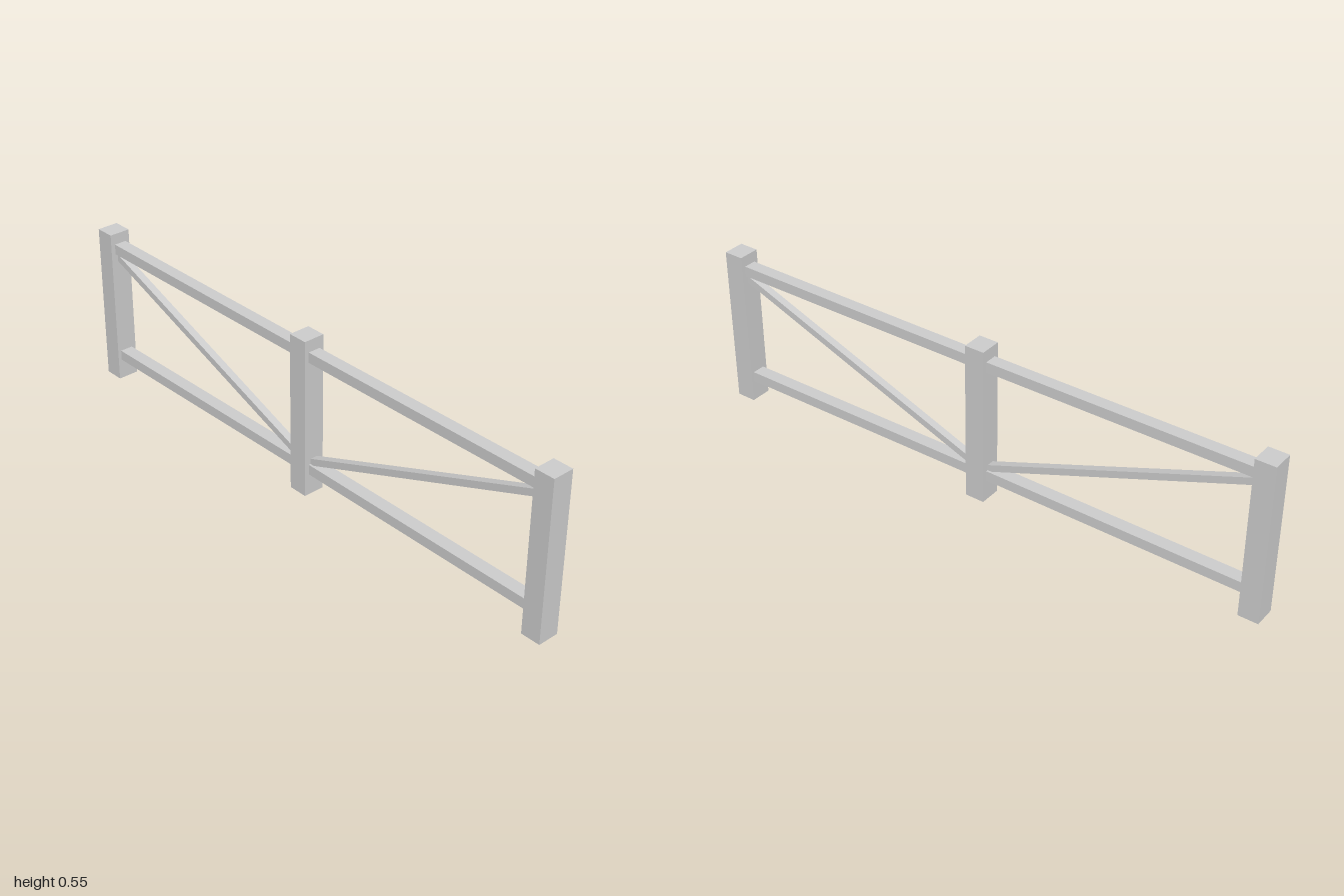
import * as THREE from 'three';

const material = new THREE.MeshStandardMaterial({ color: 0xcccccc, flatShading: true, side: THREE.DoubleSide });

const POST = { width: 0.073, depth: 0.067, height: 0.545 };
const END_Z = 1 - POST.depth / 2;

// Hollow post: four sides and a cap, open at the foot
function makePost(z) {
  const geometry = new THREE.BoxGeometry(POST.width, POST.height, POST.depth);
  const index = Array.from(geometry.index.array);
  index.splice(18, 6); // drop the bottom face
  geometry.setIndex(index);
  geometry.clearGroups();
  const post = new THREE.Mesh(geometry, material);
  post.name = 'post';
  post.position.set(0, POST.height / 2, z);
  return post;
}

// Square bar between two points in the plane of the fence
function makeBar(name, width, thickness, x, y0, z0, y1, z1) {
  const dy = y1 - y0, dz = z1 - z0;
  const bar = new THREE.Mesh(new THREE.BoxGeometry(width, thickness, Math.hypot(dy, dz)), material);
  bar.name = name;
  bar.position.set(x, (y0 + y1) / 2, (z0 + z1) / 2);
  bar.rotation.x = -Math.atan2(dy, dz);
  return bar;
}

// One fence panel running from the middle post towards +z
function makePanel(name) {
  const panel = new THREE.Group();
  panel.name = name;
  const inner = 0.02, outer = 0.945;
  panel.add(
    makeBar('upperRail', 0.043, 0.035, 0, 0.487, inner, 0.49, outer),
    makeBar('lowerRail', 0.045, 0.035, 0.002, 0.091, inner, 0.088, outer),
    makeBar('diagonalBrace', 0.026, 0.023, 0, 0.11, inner, 0.461, outer)
  );
  return panel;
}

export function createModel() {
  const fence = new THREE.Group();
  fence.name = 'fence';
  for (const z of [-END_Z, 0, END_Z]) fence.add(makePost(z));

  // The back panel is the front one turned half way round
  const front = makePanel('frontPanel');
  const back = makePanel('backPanel');
  back.rotation.y = Math.PI;
  fence.add(front, back);
  return fence;
}
